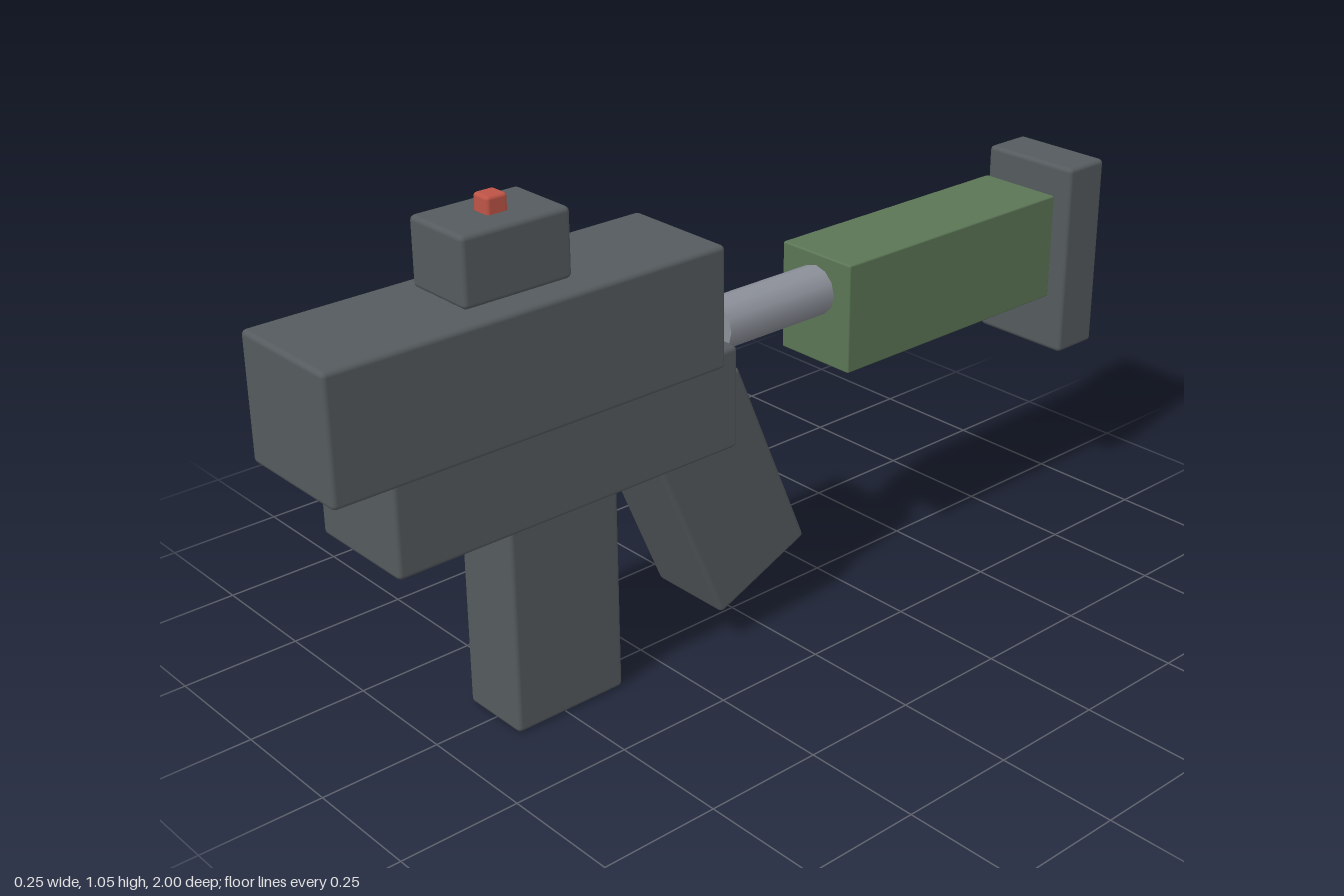
import * as THREE from 'three';
import { RoundedBoxGeometry } from 'three/addons/geometries/RoundedBoxGeometry.js';

export function createModel() {
  const model = new THREE.Group();
  const mat = (name, color) => {
    const m = new THREE.MeshStandardMaterial({ color });
    m.name = name;
    return m;
  };
  const gunmetal = mat('dark gunmetal', 0x555b5e);
  const green = mat('olive green', 0x5c7656);
  const steel = mat('light steel', 0x8c9099);
  const red = mat('red', 0xbe5446);

  const add = (name, geometry, material, y, z) => {
    const mesh = new THREE.Mesh(geometry, material);
    mesh.name = name;
    mesh.position.set(0, y, z);
    model.add(mesh);
    return mesh;
  };
  // Bevelled block given by its half width and its y and z ranges
  const block = (name, material, halfX, y0, y1, z0, z1, bevel = 0.01) =>
    add(name, new RoundedBoxGeometry(halfX * 2, y1 - y0, z1 - z0, 2, bevel),
      material, (y0 + y1) / 2, (z0 + z1) / 2);

  // Body
  block('upperReceiver', gunmetal, 0.127, 0.63, 0.88, 0.13, 1.0);
  block('lowerReceiver', gunmetal, 0.12, 0.45, 0.665, 0.093, 0.88);
  block('magazine', gunmetal, 0.078, 0, 0.437, 0.36, 0.615);

  // Raked grip, its top sunk into the lower receiver
  const grip = block('grip', gunmetal, 0.097, 0.103, 0.577, -0.032, 0.217);
  grip.rotation.x = 0.4;

  // Sight and its red marker
  block('sight', gunmetal, 0.078, 0.885, 1.02, 0.45, 0.685);
  block('sightMarker', red, 0.022, 1.005, 1.053, 0.543, 0.588, 0.007);

  // Rear tube, stock and butt plate
  const tube = new THREE.CylinderGeometry(0.053, 0.053, 0.32, 12);
  tube.rotateX(Math.PI / 2);
  add('stockTube', tube, steel, 0.657, -0.11);
  block('stock', green, 0.097, 0.5, 0.735, -0.86, -0.23, 0.004);
  block('buttPlate', gunmetal, 0.117, 0.36, 0.793, -1.0, -0.886);

  return model;
}
